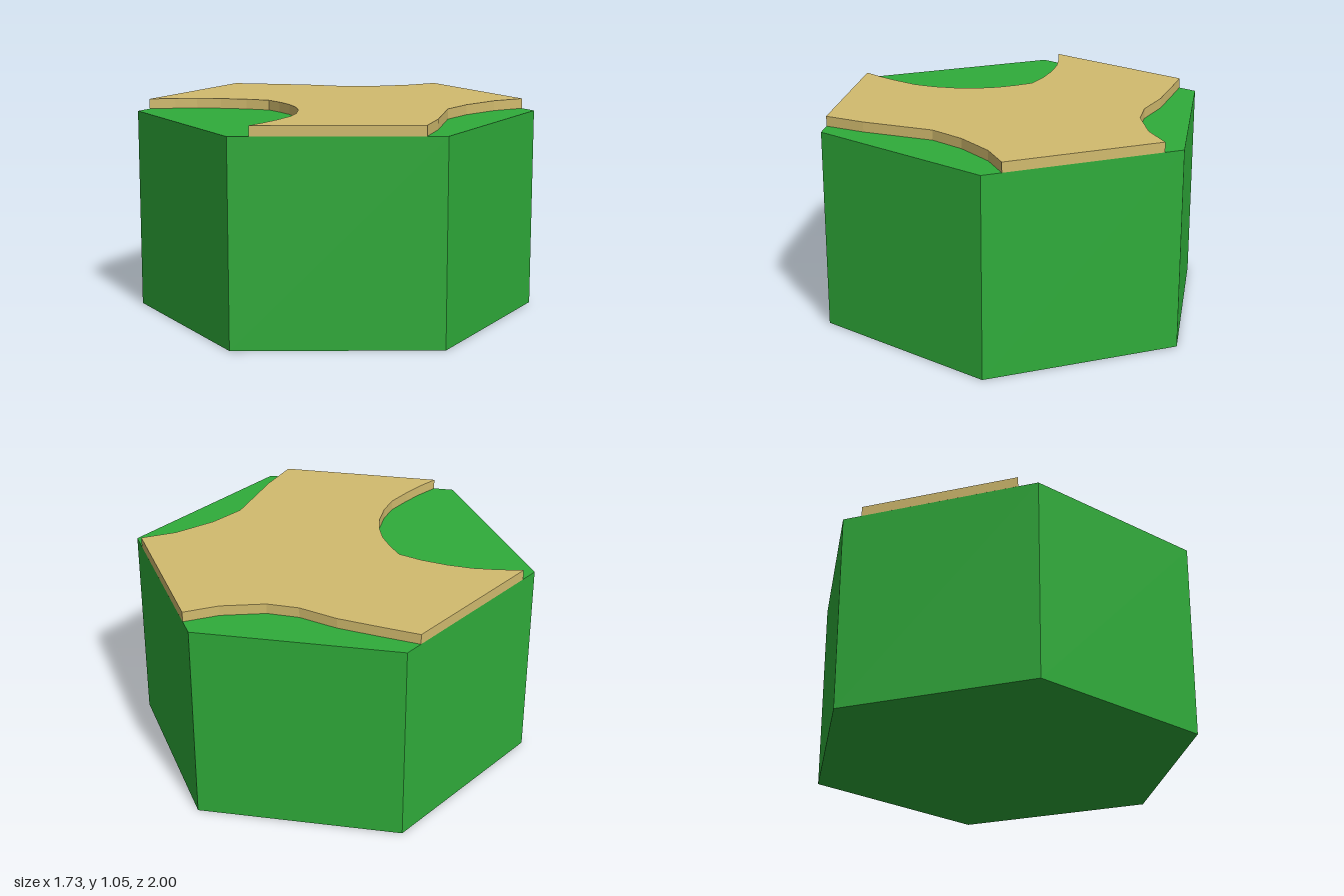
import * as THREE from 'three';

// Path outline as [x, z]: three arms that meet the rim of the hexagon
const OUTLINE = [
  // right arm, rear bank
  [0.866, -0.4], [0.69, -0.4], [0.48, -0.455], [0.35, -0.54], [0.22, -0.69], [0.07, -0.82], [-0.085, -0.951],
  // left bay between the rear and front arms
  [-0.78, -0.55], [-0.66, -0.5], [-0.56, -0.45], [-0.46, -0.38], [-0.36, -0.29], [-0.28, -0.195], [-0.27, -0.1], [-0.27, 0],
  [-0.29, 0.1], [-0.33, 0.2], [-0.395, 0.3], [-0.47, 0.38], [-0.58, 0.45], [-0.67, 0.5], [-0.78, 0.55],
  // front bank back to the right arm
  [-0.085, 0.951], [0.07, 0.81], [0.31, 0.54], [0.48, 0.455], [0.69, 0.4], [0.866, 0.4],
];

function part(name, geometry, color) {
  const material = new THREE.MeshStandardMaterial({ color, flatShading: true });
  const mesh = new THREE.Mesh(geometry, material);
  mesh.name = name;
  return mesh;
}

export function createModel() {
  const model = new THREE.Group();
  model.name = 'hexPathTile';

  // Grass block: hexagonal prism with corners on the z axis
  const block = new THREE.CylinderGeometry(1, 1, 1, 6);
  block.translate(0, 0.5, 0);
  model.add(part('grassBlock', block, 0x2fac3a));

  // Raised path slab on top
  const shape = new THREE.Shape(OUTLINE.map(([x, z]) => new THREE.Vector2(x, -z)));
  const slab = new THREE.ExtrudeGeometry(shape, { depth: 0.05, bevelEnabled: false });
  slab.rotateX(-Math.PI / 2);
  slab.translate(0, 1, 0);
  model.add(part('path', slab, 0xd2bb6e));

  return model;
}
